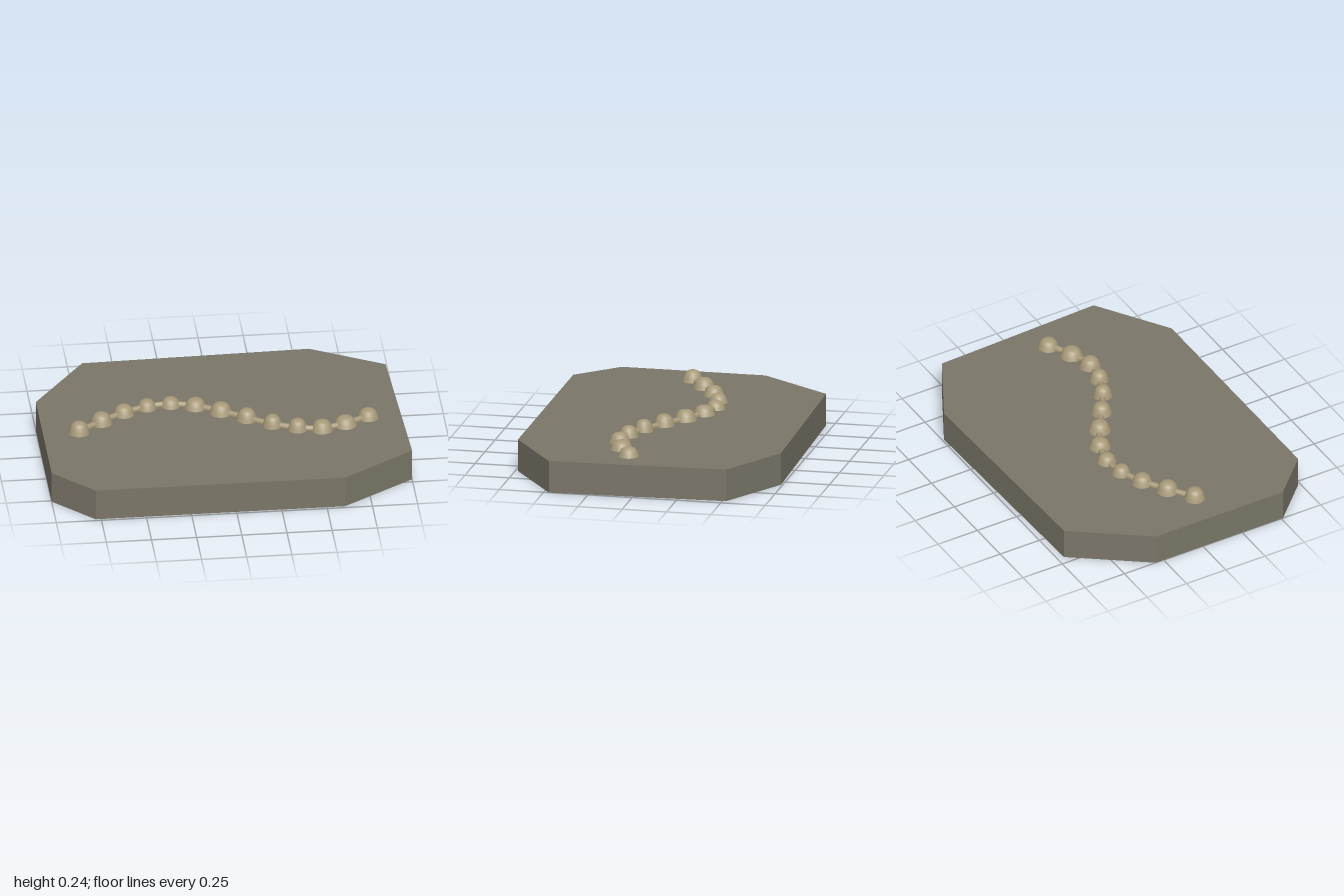
import * as THREE from 'three';

const TOP = 0.18;

export function createModel() {
  const model = new THREE.Group();
  const stone = new THREE.MeshStandardMaterial({ color: 0x7a7668 });
  stone.name = 'grey stone';
  stone.flatShading = true;
  const fossil = new THREE.MeshStandardMaterial({ color: 0xa89a7a });
  fossil.name = 'tan fossil';

  const add = (name, geometry, material, x = 0, y = 0, z = 0) => {
    const mesh = new THREE.Mesh(geometry, material);
    mesh.name = name;
    mesh.position.set(x, y, z);
    model.add(mesh);
    return mesh;
  };

  // Irregular eight-sided slab, outline as [x, z]
  const outline = [
    [-1, -0.3], [-0.7, -0.71], [0.56, -0.74], [0.96, -0.52],
    [1, 0.47], [0.6, 0.735], [-0.78, 0.735], [-1, 0.51],
  ];
  const shape = new THREE.Shape(outline.map(([x, z]) => new THREE.Vector2(x, -z)));
  const slab = new THREE.ExtrudeGeometry(shape, { depth: TOP, bevelEnabled: false });
  slab.rotateX(-Math.PI / 2);
  add('slab', slab, stone);

  // Domed segments along an S curve: z, base radius, height
  const segments = [
    [0.065, 0.06, 0.064], [-0.03, 0.063, 0.061], [-0.115, 0.06, 0.056], [-0.17, 0.055, 0.051],
    [-0.185, 0.056, 0.048], [-0.15, 0.062, 0.054], [-0.075, 0.064, 0.06], [0.015, 0.06, 0.064],
    [0.1, 0.056, 0.064], [0.155, 0.056, 0.061], [0.175, 0.062, 0.057], [0.135, 0.065, 0.052],
    [0.065, 0.06, 0.052],
  ];
  // Unit dome with a slightly flared foot
  const profile = [[1, -0.05], [0.98, 0.04], [0.88, 0.3], [0.77, 0.6], [0.62, 0.81], [0.42, 0.94], [0.2, 0.99], [0, 1]];
  const dome = new THREE.LatheGeometry(profile.map(([r, y]) => new THREE.Vector2(r, y)), 20);
  const points = segments.map(([z, radius, height], i) => {
    const x = -0.8 + (i * 1.6) / (segments.length - 1);
    add('segment', dome, fossil, x, TOP, z).scale.set(radius, height, radius);
    return new THREE.Vector3(x, TOP + 0.006, z);
  });

  // Thin stem joining the segments
  const curve = new THREE.CatmullRomCurve3(points);
  add('stem', new THREE.TubeGeometry(curve, 72, 0.019, 8), fossil);

  return model;
}
